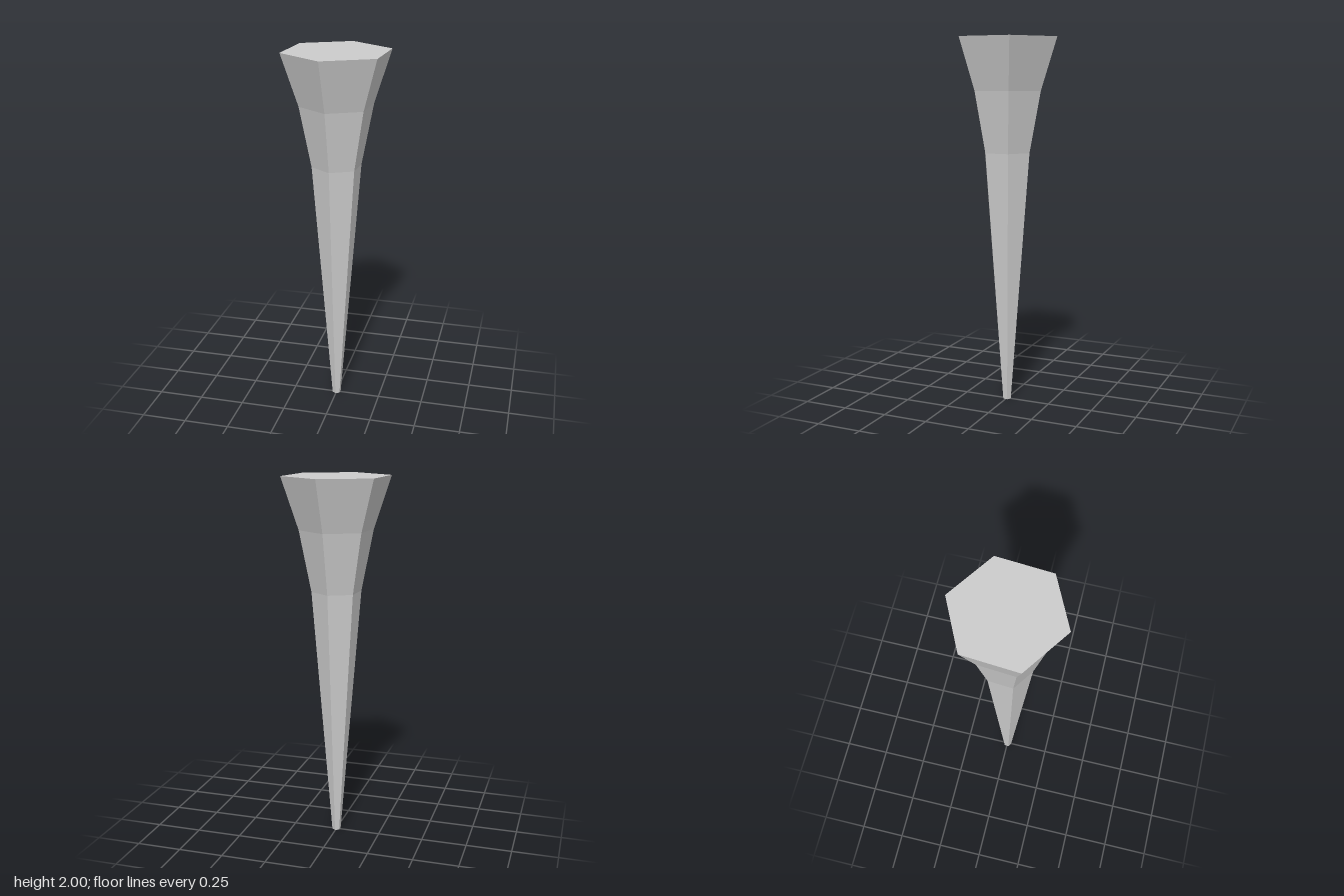
import * as THREE from 'three';

export function createModel() {
  const group = new THREE.Group();
  const material = new THREE.MeshStandardMaterial({ color: 0xcccccc, flatShading: true });

  // Six-sided flared spike: narrow foot, long taper, widening to a flat head
  const profile = [
    [0, 0], [0.024, 0], [0.136, 1.39], [0.201, 1.72], [0.294, 2], [0, 2],
  ].map(([r, y]) => new THREE.Vector2(r, y));

  // The start angle gives the hexagon its slight twist
  const spike = new THREE.Mesh(new THREE.LatheGeometry(profile, 6, -0.073), material);
  spike.name = 'flaredSpike';
  group.add(spike);

  return group;
}
